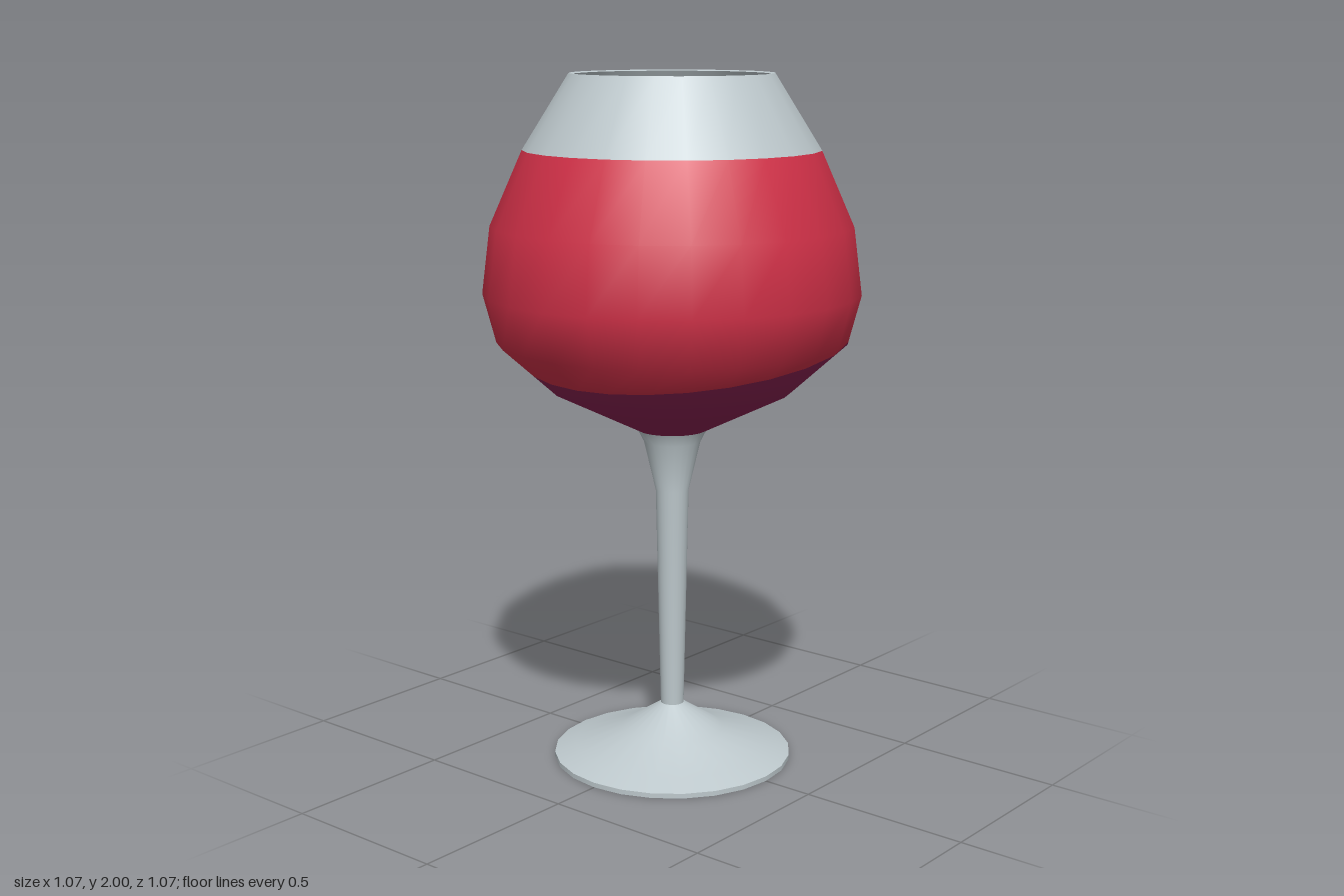
import * as THREE from 'three';

const SIDES = 24;

// Outer bowl profile [radius, height], bottom to top
const BOWL = [[0.09, 0.985], [0.345, 1.11], [0.5, 1.25], [0.537, 1.39], [0.513, 1.58], [0.42, 1.79], [0.288, 2]];

const clamp = THREE.MathUtils.clamp;

// Smooth profile normals: average of the neighbouring segments
const BOWL_NORMALS = BOWL.map((p, i) => {
  const n = new THREE.Vector2();
  for (const j of [i - 1, i]) {
    if (j < 0 || j >= BOWL.length - 1) continue;
    const dr = BOWL[j + 1][0] - BOWL[j][0], dy = BOWL[j + 1][1] - BOWL[j][1];
    n.add(new THREE.Vector2(dy, -dr).normalize());
  }
  return n.normalize();
});

// Radius and normal of the bowl at height y
function bowlAt(y) {
  let i = 0;
  while (i < BOWL.length - 2 && y > BOWL[i + 1][1]) i++;
  const t = (y - BOWL[i][1]) / (BOWL[i + 1][1] - BOWL[i][1]);
  return {
    r: THREE.MathUtils.lerp(BOWL[i][0], BOWL[i + 1][0], t),
    n: BOWL_NORMALS[i].clone().lerp(BOWL_NORMALS[i + 1], t).normalize(),
  };
}

// Height where the bowl meets the tilted colour boundary, for one direction
function tiltedEdge(angle) {
  let y = 1.222;
  for (let k = 0; k < 30; k++) y = 1.222 + 0.145 * bowlAt(y).r * Math.sin(angle);
  return y;
}

// Part of the bowl surface between two heights that may vary around the axis
function bowlBand(lower, upper) {
  const pos = [], nor = [], index = [], rows = BOWL.length + 2;
  for (let s = 0; s <= SIDES; s++) {
    const a = (s / SIDES) * Math.PI * 2, lo = lower(a), hi = upper(a);
    const heights = [lo, ...BOWL.map((p) => clamp(p[1], lo, hi)), hi];
    heights.forEach((y, i) => {
      const { r, n } = bowlAt(y);
      pos.push(r * Math.sin(a), y, r * Math.cos(a));
      nor.push(n.x * Math.sin(a), n.y, n.x * Math.cos(a));
      if (s === SIDES || i === rows - 1) return;
      const p = s * rows + i, q = p + rows;
      index.push(p, q, q + 1, p, q + 1, p + 1);
    });
  }
  const g = new THREE.BufferGeometry();
  g.setAttribute('position', new THREE.Float32BufferAttribute(pos, 3));
  g.setAttribute('normal', new THREE.Float32BufferAttribute(nor, 3));
  g.setIndex(index);
  return g;
}

const lathe = (points) =>
  new THREE.LatheGeometry(points.map(([r, y]) => new THREE.Vector2(r, y)), SIDES);

export function createModel() {
  const group = new THREE.Group();
  const material = (name, color) => {
    const m = new THREE.MeshStandardMaterial({ color });
    m.name = name;
    return m;
  };
  const glass = material('pale glass', 0xbec9cd);
  const red = material('red wine', 0xcf3047);
  const purple = material('dark purple', 0x8a2252);

  const add = (name, geometry, mat) => {
    const mesh = new THREE.Mesh(geometry, mat);
    mesh.name = name;
    group.add(mesh);
    return mesh;
  };

  // Foot: flat underside, thin edge and sloping top
  add('footUnderside', lathe([[0, 0], [0.35, 0]]), glass);
  add('footEdge', lathe([[0.35, 0], [0.35, 0.014]]), glass);
  add('footTop', lathe([[0.35, 0.014], [0.29, 0.035], [0.15, 0.085], [0.034, 0.16]]), glass);

  // Stem, flaring where it joins the bowl
  add('stem', lathe([[0.034, 0.16], [0.048, 0.81], [0.082, 0.955], [0.1, 0.99]]), glass);

  // Bowl: dark bottom with tilted edge, red middle, clear top
  add('bowlBottom', bowlBand(() => 0.985, tiltedEdge), purple);
  add('bowlMiddle', bowlBand(tiltedEdge, () => 1.79), red);
  add('bowlTop', bowlBand(() => 1.79, () => 2), glass);

  // Lip and inner wall
  add('lip', lathe([[0.288, 2], [0.275, 1.997]]), glass);
  add('innerWall', lathe([[0.275, 1.997], [0.405, 1.775]]), glass);

  // Wine surface inside the bowl
  add('wineSurface', lathe([[0.405, 1.78], [0, 1.78]]), red);

  return group;
}
